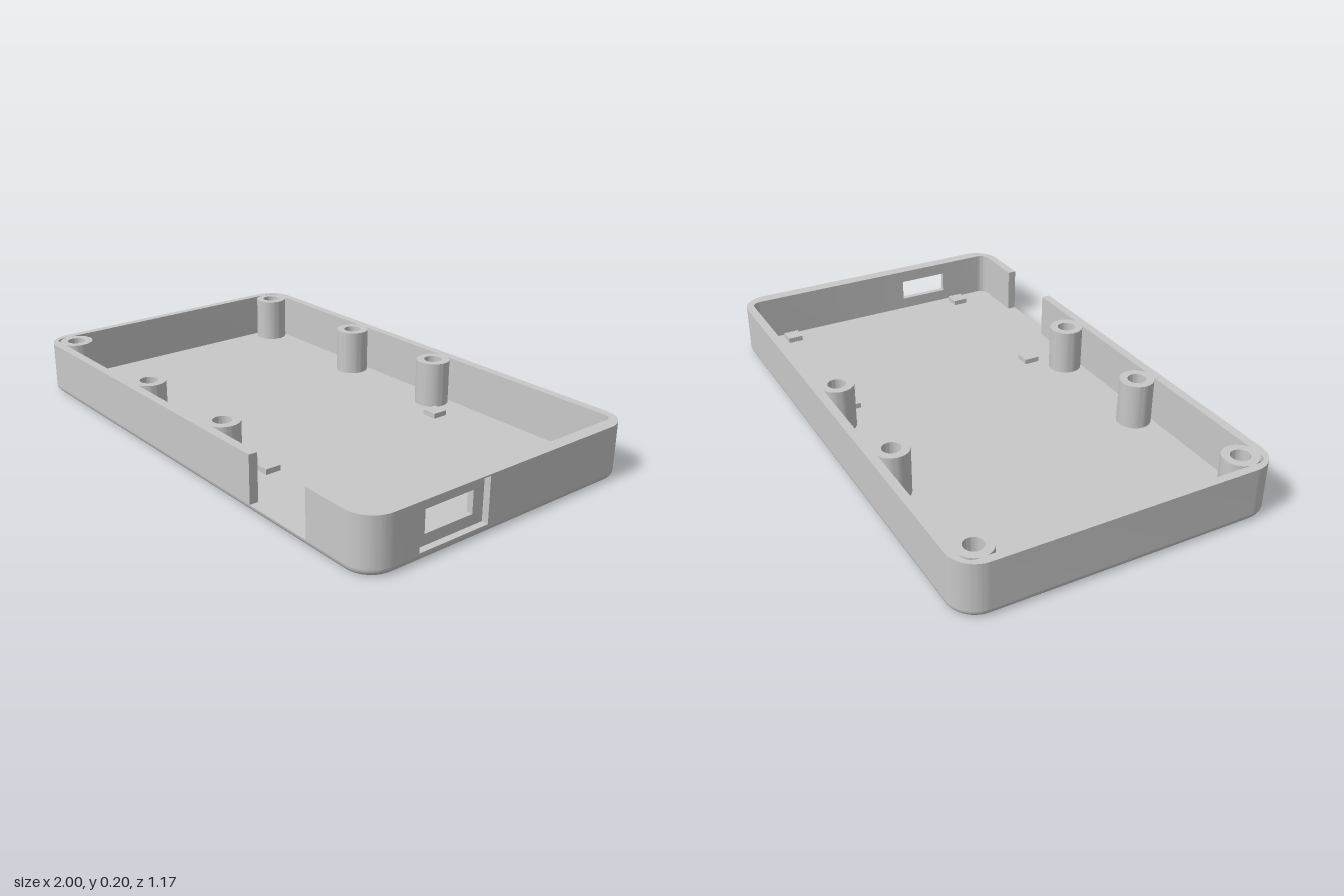
import * as THREE from 'three';
import { toCreasedNormals } from 'three/addons/utils/BufferGeometryUtils.js';

const W = 1, D = 0.585, H = 0.2, R = 0.1;      // outer half width, half depth, height, corner radius
const FLOOR = 0.025, FILLET = 0.024;
const IN = { left: -0.97, right: 0.952, z: 0.552, r: 0.035 }; // inner cavity
const GAP = [0.436, 0.722];                    // opening in the front wall (x)
const PORT = [0.095, 0.383];                   // recess in the left-hand wall (z)
const PORT_Y = [0.031, 0.195];
const PI = Math.PI;

// Rounded outline of the tray, drawn in (x, -z)
function outline(inset) {
  const pts = [], r = R - inset, n = 10;
  [[1, 1], [-1, 1], [-1, -1], [1, -1]].forEach(([sx, sy], q) => {
    for (let i = 0; i <= n; i++) {
      const a = (q + i / n) * PI / 2;
      pts.push(new THREE.Vector2(sx * (W - R) + r * Math.cos(a), sy * (D - R) + r * Math.sin(a)));
    }
  });
  return pts;
}

// Side skin of the floor, with the rounded lower edge
function floorEdge() {
  const rings = [], steps = 6;
  for (let i = 0; i <= steps; i++) {
    const a = i / steps * PI / 2;
    rings.push([FILLET * (1 - Math.sin(a)), FILLET * (1 - Math.cos(a))]);
  }
  rings.push([0, FLOOR]);
  const pos = [], idx = [];
  let n = 0;
  for (const [inset, y] of rings) {
    const pts = outline(inset);
    n = pts.length;
    pts.forEach(p => pos.push(p.x, y, -p.y));
  }
  for (let j = 0; j < rings.length - 1; j++) {
    for (let i = 0; i < n; i++) {
      const a = j * n + i, b = j * n + (i + 1) % n;
      idx.push(a, b, b + n, a, b + n, a + n);
    }
  }
  const g = new THREE.BufferGeometry();
  g.setAttribute('position', new THREE.Float32BufferAttribute(pos, 3));
  g.setIndex(idx);
  g.computeVertexNormals();
  return g;
}

// Upright wall from a plan shape
function wall(shape) {
  const g = new THREE.ExtrudeGeometry(shape, { depth: H - FLOOR, bevelEnabled: false, curveSegments: 10 });
  g.rotateX(-PI / 2).translate(0, FLOOR, 0);
  return toCreasedNormals(g, 0.6);
}

export function createModel() {
  const group = new THREE.Group();
  const grey = new THREE.MeshStandardMaterial({ color: 0xc8c8c8 });
  grey.name = 'plain grey';
  const add = (name, geometry, x = 0, y = 0, z = 0) => {
    const m = new THREE.Mesh(geometry, grey);
    m.name = name;
    m.position.set(x, y, z);
    group.add(m);
  };

  // Floor plate: rounded edge, upper face and underside
  add('floorEdge', floorEdge());
  add('floorTop', new THREE.ShapeGeometry(new THREE.Shape(outline(0))).rotateX(-PI / 2), 0, FLOOR, 0);
  add('floorUnderside', new THREE.ShapeGeometry(new THREE.Shape(outline(FILLET))).rotateX(PI / 2));

  // Long wall: from the front opening around the back to the port
  const cx = W - R, cz = D - R, ir = IN.r, iz = IN.z - ir;
  const main = new THREE.Shape();
  main.moveTo(GAP[0], -D);
  main.lineTo(-cx, -D);
  main.absarc(-cx, -cz, R, 1.5 * PI, PI, true);
  main.absarc(-cx, cz, R, PI, PI / 2, true);
  main.absarc(cx, cz, R, PI / 2, 0, true);
  main.lineTo(W, -PORT[0]);
  main.lineTo(IN.right, -PORT[0]);
  main.absarc(IN.right - ir, iz, ir, 0, PI / 2, false);
  main.absarc(IN.left + ir, iz, ir, PI / 2, PI, false);
  main.absarc(IN.left + ir, -iz, ir, PI, 1.5 * PI, false);
  main.lineTo(GAP[0], -IN.z);
  add('mainWall', wall(main));

  // Short corner wall between the front opening and the port
  const corner = new THREE.Shape();
  corner.moveTo(GAP[1], -D);
  corner.lineTo(cx, -D);
  corner.absarc(cx, -cz, R, -PI / 2, 0, false);
  corner.lineTo(W, -PORT[1]);
  corner.lineTo(IN.right, -PORT[1]);
  corner.absarc(IN.right - ir, -iz, ir, 0, -PI / 2, true);
  corner.lineTo(GAP[1], -IN.z);
  add('cornerWall', wall(corner));

  // Recessed port panel with its slot, between a thin sill and a thin lip
  const rect = (Type, x0, x1, y0, y1) => new Type([[x0, y0], [x1, y0], [x1, y1], [x0, y1]]
    .map(p => new THREE.Vector2(...p)));
  const panel = rect(THREE.Shape, -PORT[1], -PORT[0], ...PORT_Y);
  panel.holes.push(rect(THREE.Path, -0.34, -0.14, 0.07, 0.152));
  add('portPanel', new THREE.ExtrudeGeometry(panel, { depth: 0.023, bevelEnabled: false }).rotateY(PI / 2), IN.right);
  for (const [name, y0, y1] of [['portSill', FLOOR, PORT_Y[0]], ['portLip', PORT_Y[1], H]]) {
    add(name, new THREE.BoxGeometry(W - IN.right, y1 - y0, PORT[1] - PORT[0]),
      (W + IN.right) / 2, (y0 + y1) / 2, (PORT[0] + PORT[1]) / 2);
  }

  // Hollow screw posts
  const profile = [[0.064, FLOOR], [0.064, H], [0.034, H], [0.034, FLOOR + 0.002], [0, FLOOR + 0.002]]
    .map(p => new THREE.Vector2(...p));
  const post = toCreasedNormals(new THREE.LatheGeometry(profile, 40), 0.6);
  for (const x of [-0.907, -0.33, 0.152]) {
    for (const z of [-0.492, 0.492]) add('screwPost', post, x, 0, z);
  }

  // Small square support pads
  const pad = new THREE.BoxGeometry(0.06, 0.02, 0.06);
  for (const x of [0.262, 0.897]) {
    for (const z of [-0.403, 0.385]) add('supportPad', pad, x, FLOOR + 0.01, z);
  }
  return group;
}
